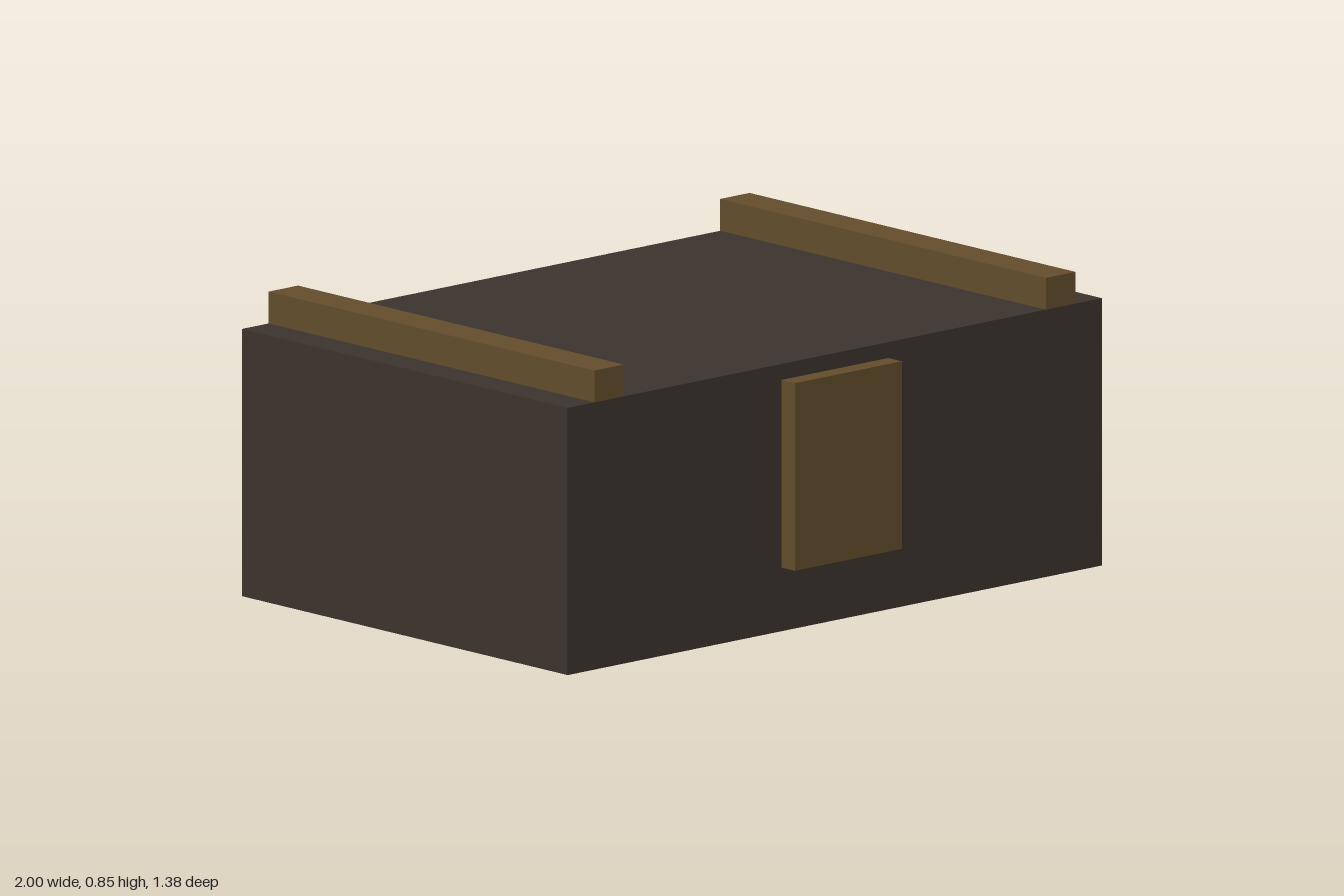
import * as THREE from 'three';

export function createModel() {
  const model = new THREE.Group();
  model.name = 'chest';

  const darkWood = new THREE.MeshStandardMaterial({ color: 0x3c342e });
  darkWood.name = 'dark wood';
  const brass = new THREE.MeshStandardMaterial({ color: 0x644e2c });
  brass.name = 'dull brass';

  // Adds a box given its minimum and maximum corners
  function addBox(name, material, min, max) {
    const size = max.map((v, i) => v - min[i]);
    const mesh = new THREE.Mesh(new THREE.BoxGeometry(...size), material);
    mesh.position.set(...max.map((v, i) => (v + min[i]) / 2));
    mesh.name = name;
    model.add(mesh);
  }

  const back = -0.69, front = 0.635, top = 0.755;

  // Main body
  addBox('body', darkWood, [-1, 0, back], [1, top, front]);

  // Rails running front to back across the lid
  addBox('leftRail', brass, [0.79, top, back], [0.9, 0.845, front]);
  addBox('rightRail', brass, [-0.9, top, back], [-0.79, 0.845, front]);

  // Raised clasp plate on the front
  addBox('clasp', brass, [-0.2, 0.18, front], [0.2, 0.71, 0.69]);

  return model;
}
